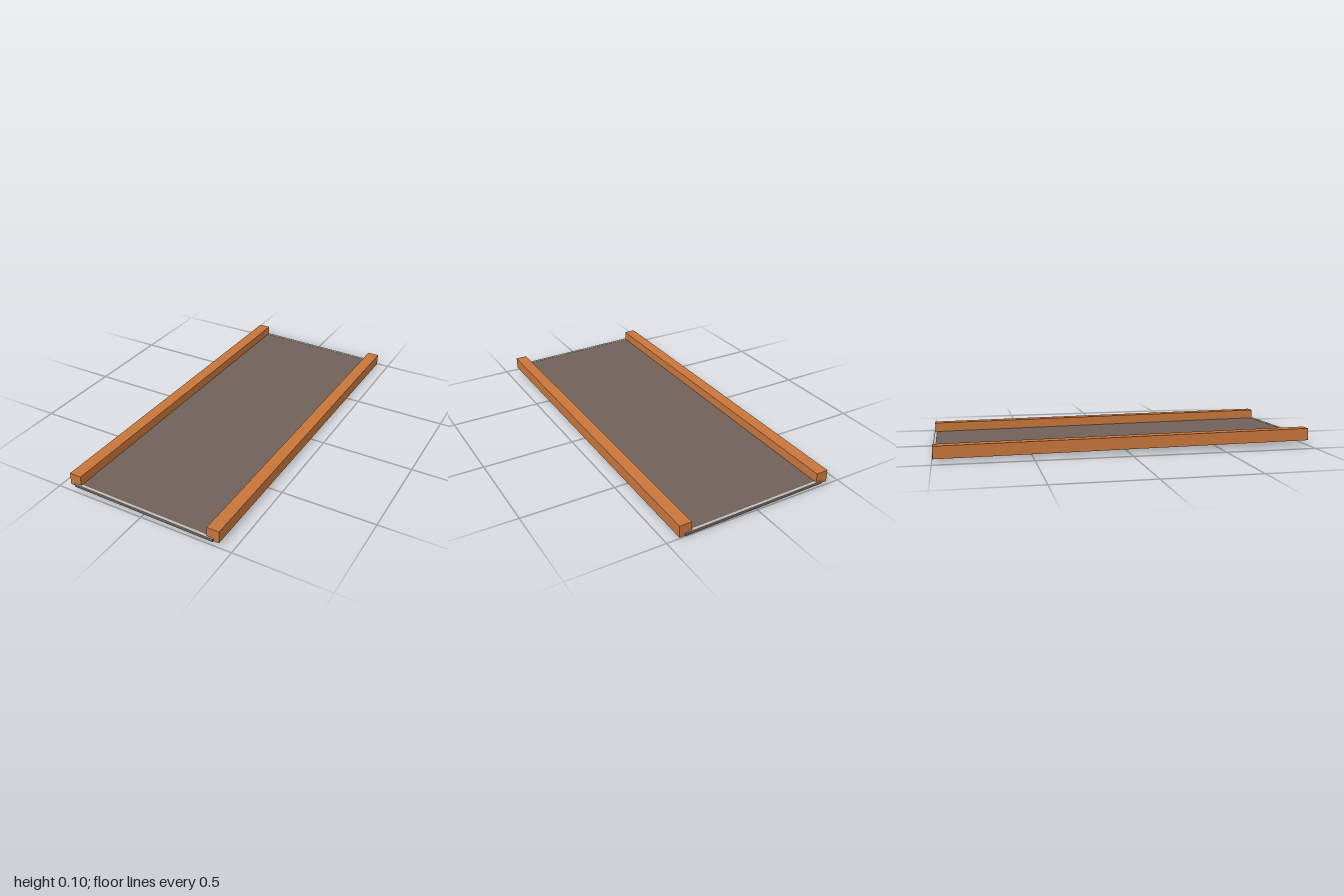
import * as THREE from 'three';

const timber = new THREE.MeshStandardMaterial({ color: 0xc8753a });
timber.name = 'orange timber';
const board = new THREE.MeshStandardMaterial({ color: 0x70615a });
board.name = 'brown board';
const trim = new THREE.MeshStandardMaterial({ color: 0xc2c4be });
trim.name = 'pale grey trim';

export function createModel() {
  const model = new THREE.Group();
  model.name = 'walkway';

  // The whole walkway rests slightly tilted, front and right side raised
  const span = new THREE.Group();
  span.name = 'tiltedSpan';
  span.position.y = 0.016;
  span.rotation.set(-0.009, 0, -0.0165);
  model.add(span);

  // Box whose underside sits at height y
  const box = (name, material, w, h, d, x, y, z) => {
    const mesh = new THREE.Mesh(new THREE.BoxGeometry(w, h, d), material);
    mesh.name = name;
    mesh.position.set(x, y + h / 2, z);
    span.add(mesh);
  };

  // Flat deck board, running under both side rails
  box('deck', board, 0.8, 0.015, 1.996, 0, 0, 0);

  // Side rails
  box('leftRail', timber, 0.065, 0.065, 1.985, 0.3965, 0.0006, -0.002);
  box('rightRail', timber, 0.065, 0.065, 1.985, -0.3965, 0.0006, -0.002);

  // Pale edging on the upper face at each end of the deck
  box('frontEdging', trim, 0.8, 0.0015, 0.014, 0, 0.015, 0.991);
  box('backEdging', trim, 0.8, 0.0015, 0.014, 0, 0.015, -0.991);

  return model;
}
